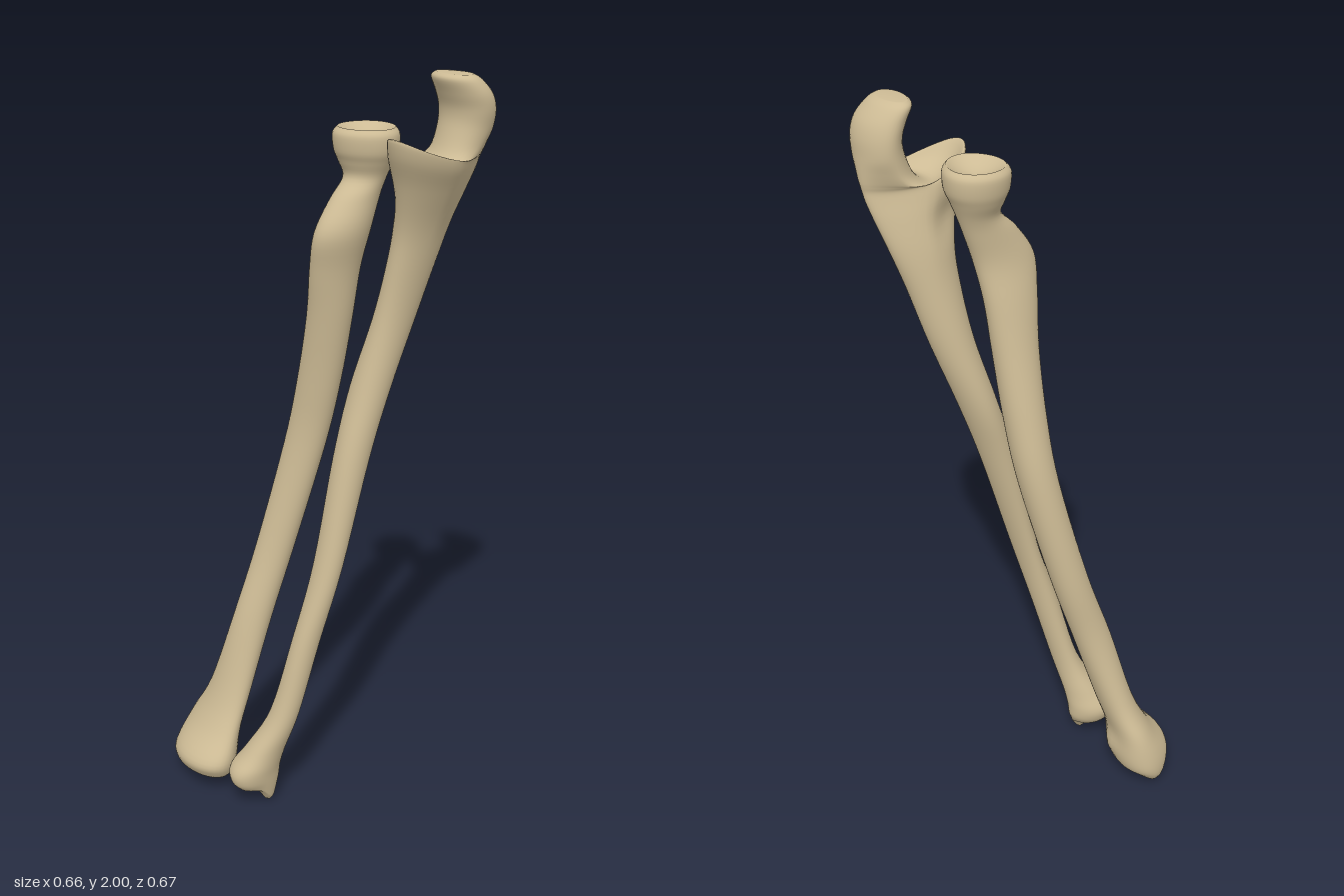
import * as THREE from 'three';

const SIDES = 40, STEPS = 5;

// Catmull-Rom blend of two neighbouring cross-sections
function blend(list, i, t) {
  const at = k => list[Math.min(Math.max(k, 0), list.length - 1)];
  const get = (s, k) => s[k] ?? 0;
  return Array.from({ length: 8 }, (_, k) => {
    const [a, b, c, d] = [at(i - 1), at(i), at(i + 1), at(i + 2)].map(s => get(s, k));
    return 0.5 * (2 * b + (c - a) * t + (2 * a - 5 * b + 4 * c - d) * t * t + (3 * b - a - 3 * c + d) * t ** 3);
  });
}

// One ring. Section: [y, xLeftEdge, xRightEdge, zFront, zBack, frontLift, skew, frontWidening]
function ring([y, x0, x1, zf, zb, lift, skew, egg], edge, scale = 1, dy = 0) {
  const points = [];
  for (let j = 0; j < SIDES; j++) {
    const a = (j / SIDES) * Math.PI * 2;
    const c = Math.cos(a) * scale, s = Math.sin(a) * scale;
    points.push([
      (x0 + x1) / 2 + ((x1 - x0) / 2) * c * (1 + egg * (s - Math.abs(s))),
      y + dy + lift * ((1 + s) / 2) ** 2,
      (zf + zb) / 2 + ((zf - zb) / 2) * s * (1 + edge * c) + skew * c,
    ]);
  }
  return points;
}

// Smooth closed bone through its sections, with dished ends and soft local bumps
function bone(name, sections, { edge, bottomDish, topDish, bumps }, material) {
  const rings = [];
  const first = sections[0], last = sections[sections.length - 1];
  const full = s => Array.from({ length: 8 }, (_, k) => s[k] ?? 0);
  const dish = [0.93, 0.8, 0.6, 0.4, 0.2, 0];
  for (const f of [...dish].reverse()) rings.push(ring(full(first), edge, f, bottomDish * (1 - f * f)));
  for (let i = 0; i < sections.length - 1; i++) {
    for (let k = 0; k < STEPS; k++) rings.push(ring(blend(sections, i, k / STEPS), edge));
  }
  rings.push(ring(full(last), edge));
  for (const f of dish) rings.push(ring(full(last), edge, f, topDish * (1 - f * f)));

  const positions = [], index = [];
  for (const p of rings.flat()) {
    const moved = [...p];
    for (const { at, push, size } of bumps) {
      const d2 = at.reduce((sum, v, k) => sum + (p[k] - v) ** 2, 0);
      const w = Math.exp(-d2 / (size * size));
      push.forEach((v, k) => { moved[k] += v * w; });
    }
    positions.push(...moved);
  }
  for (let i = 0; i < rings.length - 1; i++) {
    for (let j = 0; j < SIDES; j++) {
      const n = (j + 1) % SIDES;
      const a = i * SIDES + j, b = a + SIDES, c = i * SIDES + n, d = c + SIDES;
      index.push(a, b, c, b, d, c);
    }
  }
  const geometry = new THREE.BufferGeometry();
  geometry.setAttribute('position', new THREE.Float32BufferAttribute(positions, 3));
  geometry.setIndex(index);
  geometry.computeVertexNormals();
  const mesh = new THREE.Mesh(geometry, material);
  mesh.name = name;
  return mesh;
}

export function createModel() {
  const group = new THREE.Group();
  group.name = 'forearmBones';
  const boneColour = new THREE.MeshStandardMaterial({ color: 0xcdbb95 });
  boneColour.name = 'bone';

  // Radius: flared wrist end, slim shaft, tuberosity, neck and round head
  const radiusWrist = [
    [0.045, -0.312, -0.1, 0.305, 0.175, 0, 0.02],
    [0.062, -0.328, -0.085, 0.322, 0.16, 0, 0.025],
    [0.1, -0.325, -0.076, 0.325, 0.152, 0, 0.03],
    [0.175, -0.303, -0.093, 0.265, 0.145, 0, 0.02],
    [0.28, -0.254, -0.1, 0.217, 0.115, 0, 0.01],
    [0.49, -0.2, -0.09, 0.162, 0.055],
    [0.7, -0.175, -0.064, 0.095, -0.008],
    [0.995, -0.132, -0.01, 0.03, -0.075],
  ];
  const radiusElbow = [
    [1.18, -0.095, 0.03, 0.016, -0.095],
    [1.365, -0.053, 0.065, 0.02, -0.105],
    [1.5, -0.026, 0.085, 0.034, -0.115],
    [1.6, -0.003, 0.108, 0.04, -0.13],
    [1.68, 0.004, 0.108, -0.01, -0.155],
    [1.73, 0.002, 0.112, -0.058, -0.172],
    [1.77, -0.016, 0.13, -0.05, -0.188],
    [1.8, -0.027, 0.144, -0.038, -0.2],
    [1.84, -0.03, 0.147, -0.035, -0.202],
    [1.858, -0.018, 0.135, -0.048, -0.19],
  ];
  group.add(bone('radius', [...radiusWrist, ...radiusElbow], {
    edge: -0.1, bottomDish: 0.02, topDish: -0.028,
    bumps: [
      { at: [-0.305, 0.045, 0.235], push: [0, -0.035, 0], size: 0.04 }, // styloid tip
      { at: [-0.2, 0.12, 0.15], push: [0, 0, -0.012], size: 0.035 }, // back ridge
    ],
  }, boneColour));

  // Ulna: small wrist head with styloid, bowed shaft
  const ulnaShaft = [
    [0.058, -0.052, 0.037, 0.28, 0.165],
    [0.08, -0.068, 0.045, 0.298, 0.152],
    [0.115, -0.073, 0.051, 0.297, 0.148],
    [0.17, -0.045, 0.06, 0.255, 0.142],
    [0.28, 0, 0.085, 0.195, 0.12],
    [0.49, 0.032, 0.11, 0.142, 0.067],
    [0.7, 0.048, 0.137, 0.08, 0.01],
    [0.995, 0.048, 0.148, 0.015, -0.08],
    [1.18, 0.048, 0.16, -0.04, -0.145],
    [1.365, 0.078, 0.18, -0.09, -0.212],
    [1.52, 0.105, 0.21, -0.11, -0.257],
    [1.62, 0.118, 0.238, -0.11, -0.29, 0, 0, 0.1],
  ];
  // Coronoid lip, hooked notch and olecranon
  const ulnaElbow = [
    [1.7, 0.128, 0.28, -0.083, -0.315, 0.03, 0, 0.2],
    [1.75, 0.133, 0.312, -0.05, -0.328, 0.06, 0, 0.25],
    [1.775, 0.138, 0.322, -0.044, -0.332, 0.08, 0, 0.25],
    [1.79, 0.145, 0.318, -0.085, -0.335, 0.015, 0, 0.22],
    [1.803, 0.155, 0.312, -0.14, -0.337, -0.028, 0, 0.18],
    [1.83, 0.162, 0.312, -0.19, -0.338, -0.03, 0, 0.1],
    [1.865, 0.163, 0.32, -0.218, -0.337],
    [1.91, 0.163, 0.33, -0.222, -0.334],
    [1.95, 0.164, 0.33, -0.208, -0.32],
    [1.985, 0.167, 0.316, -0.194, -0.29],
    [1.998, 0.183, 0.3, -0.204, -0.268],
  ];
  group.add(bone('ulna', [...ulnaShaft, ...ulnaElbow], {
    edge: 0.1, bottomDish: 0, topDish: 0.002,
    bumps: [
      { at: [0.018, 0.058, 0.2], push: [0, -0.055, 0], size: 0.028 }, // styloid tip
      { at: [0.13, 1.7, -0.14], push: [0.02, 0, 0], size: 0.05 }, // hollow beside the radial head
    ],
  }, boneColour));

  return group;
}
